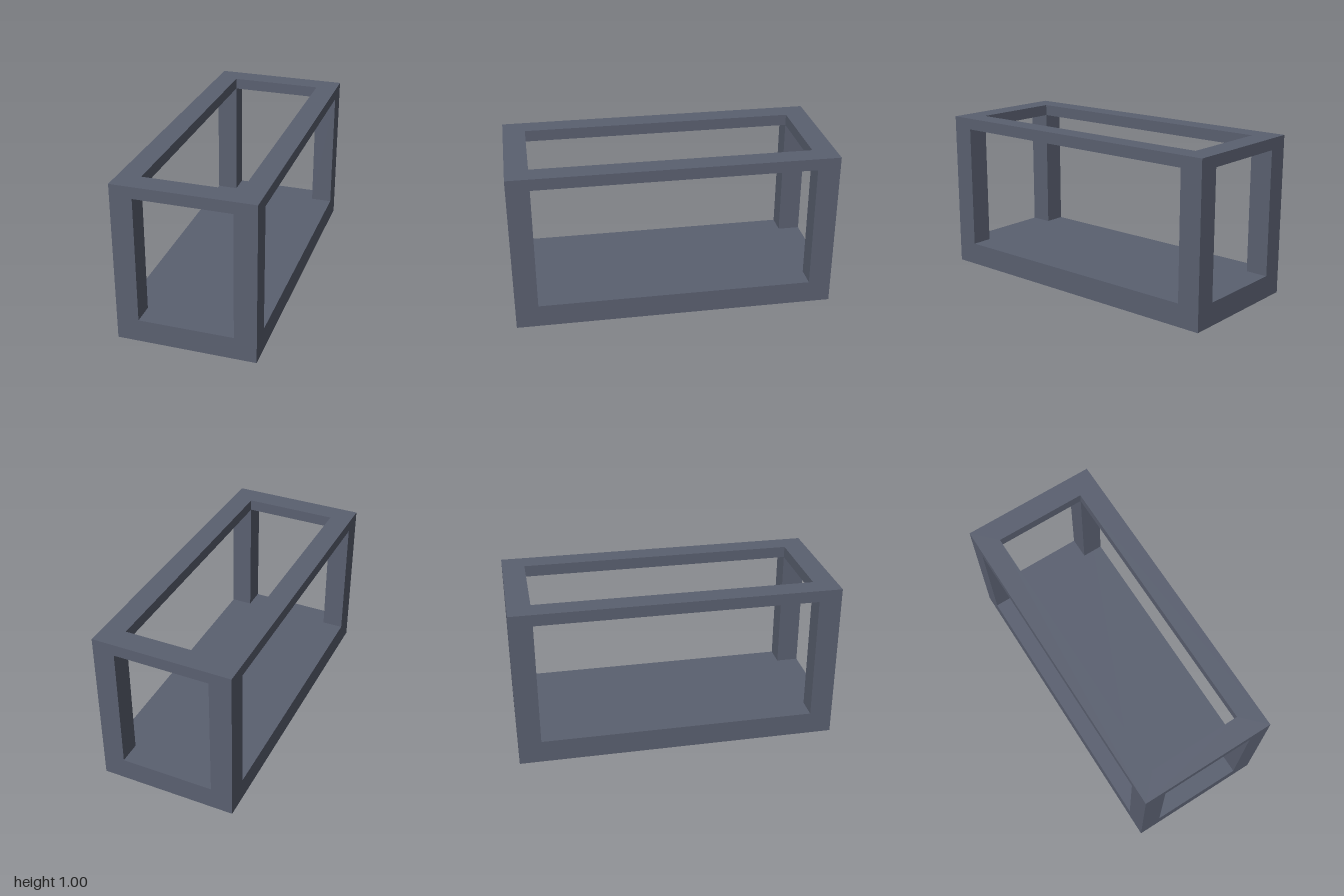
import * as THREE from 'three';

const HALF_W = 0.428, HALF_D = 1.0, HEIGHT = 1.005;
const POST_W = 0.136, POST_D = 0.141;
const BASE_TOP = 0.143, RIM_BOTTOM = 0.933;

// Rectangle outline centred on the origin
function rectangle(Type, hw, hd) {
  const path = new Type();
  path.moveTo(-hw, -hd);
  path.lineTo(hw, -hd);
  path.lineTo(hw, hd);
  path.lineTo(-hw, hd);
  path.closePath();
  return path;
}

export function createModel() {
  const model = new THREE.Group();
  model.name = 'openFrame';
  const slate = new THREE.MeshStandardMaterial({ color: 0x5a6070 });
  slate.name = 'slate grey';

  const add = (name, geometry, x, y, z) => {
    const mesh = new THREE.Mesh(geometry, slate);
    mesh.name = name;
    mesh.position.set(x, y, z);
    model.add(mesh);
  };

  // Solid floor slab
  add('base', new THREE.BoxGeometry(HALF_W * 2, BASE_TOP, HALF_D * 2), 0, BASE_TOP / 2, 0);

  // Four corner posts
  const postHeight = RIM_BOTTOM - BASE_TOP;
  const post = new THREE.BoxGeometry(POST_W, postHeight, POST_D);
  for (const sx of [1, -1]) {
    for (const sz of [1, -1]) {
      add((sz > 0 ? 'front' : 'back') + (sx > 0 ? 'Left' : 'Right') + 'Post', post,
        sx * (HALF_W - POST_W / 2), BASE_TOP + postHeight / 2, sz * (HALF_D - POST_D / 2));
    }
  }

  // Top rim with a rectangular opening
  const outline = rectangle(THREE.Shape, HALF_W, HALF_D);
  outline.holes.push(rectangle(THREE.Path, HALF_W - POST_W, HALF_D - POST_D));
  const rim = new THREE.ExtrudeGeometry(outline, { depth: HEIGHT - RIM_BOTTOM, bevelEnabled: false });
  rim.rotateX(-Math.PI / 2);
  add('topRim', rim, 0, RIM_BOTTOM, 0);

  return model;
}
